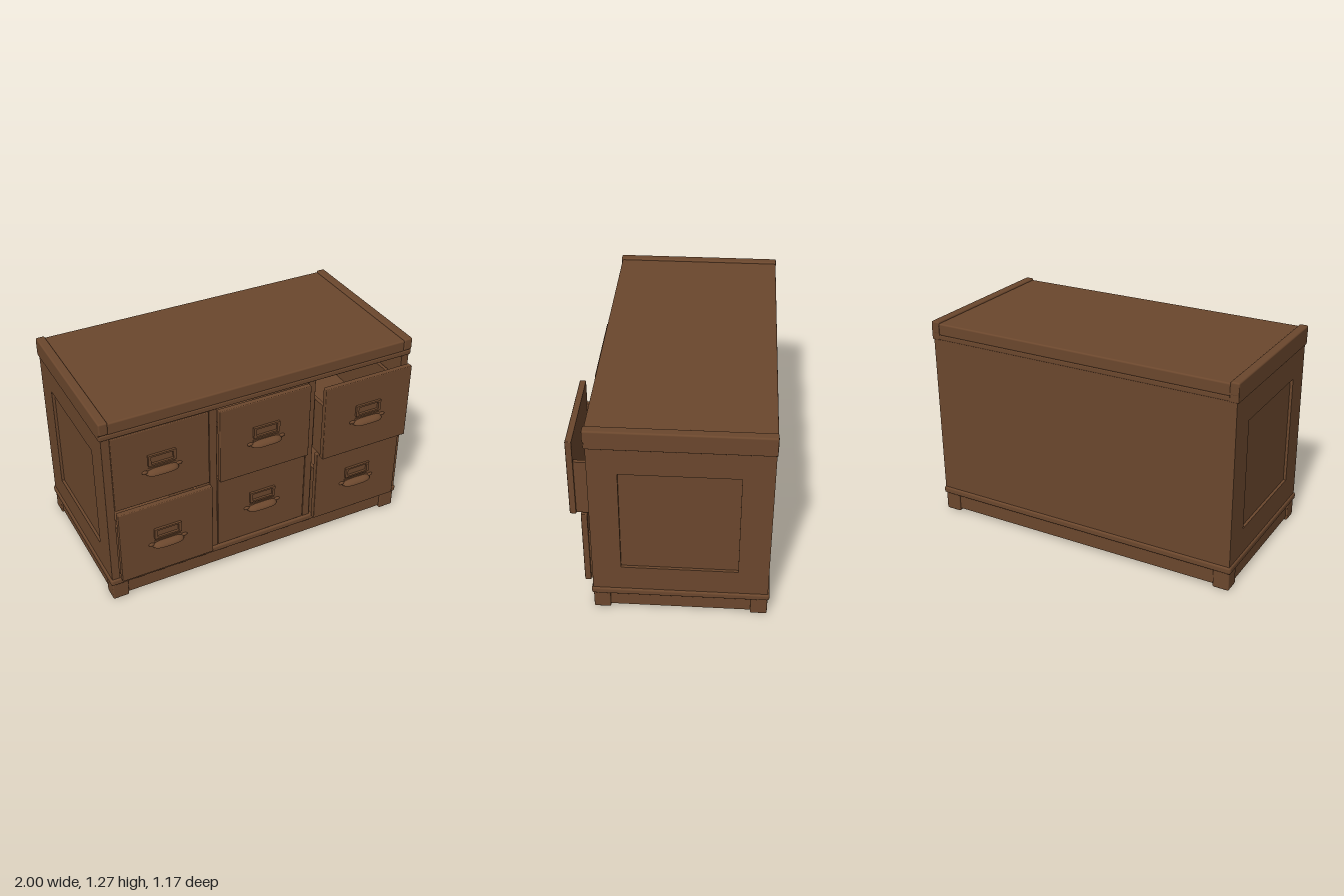
import * as THREE from 'three';
import { RoundedBoxGeometry } from 'three/addons/geometries/RoundedBoxGeometry.js';
import { ParametricGeometry } from 'three/addons/geometries/ParametricGeometry.js';

const wood = new THREE.MeshStandardMaterial({ color: 0x6b472d, side: THREE.DoubleSide });
wood.name = 'brown wood';

// Box given by its limits on each axis, with softened edges when r > 0
function box(parent, name, [x0, x1], [y0, y1], [z0, z1], r = 0) {
  const w = x1 - x0, h = y1 - y0, d = z1 - z0;
  const geo = r ? new RoundedBoxGeometry(w, h, d, 2, r) : new THREE.BoxGeometry(w, h, d);
  const mesh = new THREE.Mesh(geo, wood);
  mesh.name = name;
  mesh.position.set((x0 + x1) / 2, (y0 + y1) / 2, (z0 + z1) / 2);
  parent.add(mesh);
  return mesh;
}

function rect(target, x0, x1, y0, y1) {
  target.moveTo(x0, y0);
  target.lineTo(x1, y0);
  target.lineTo(x1, y1);
  target.lineTo(x0, y1);
  target.closePath();
  return target;
}

// Flat frame: a rectangle with a rectangular opening, extruded along z
function frameGeometry(outer, inner, depth) {
  const shape = rect(new THREE.Shape(), ...outer);
  shape.holes.push(rect(new THREE.Path(), ...inner));
  return new THREE.ExtrudeGeometry(shape, { depth, bevelEnabled: false });
}

// Hollow cup pull: a quarter tube closing at both ends
const cupGeometry = new ParametricGeometry((u, v, p) => {
  const s = Math.sin((u - 0.5) * Math.PI);
  const f = Math.sqrt(Math.max(0, 1 - s ** 4));
  const a = v * Math.PI / 2;
  p.set(0.1 * s, 0.03 * f * Math.sin(a), 0.042 * f * Math.cos(a));
}, 24, 8);

const labelGeometry = frameGeometry([-0.085, 0.085, 0.055, 0.125], [-0.068, 0.068, 0.066, 0.114], 0.014);

function addHardware(drawer) {
  const group = new THREE.Group();
  group.name = 'drawerHardware';
  group.position.y = 0.2;
  drawer.add(group);
  const label = new THREE.Mesh(labelGeometry, wood);
  label.name = 'labelFrame';
  group.add(label);
  const cup = new THREE.Mesh(cupGeometry, wood);
  cup.name = 'cupPull';
  group.add(cup);
  box(group, 'pullPlate', [-0.085, 0.085], [0, 0.037], [0, 0.004]);
  // Small mounting ears beside the cup
  for (const s of [-1, 1]) {
    const ear = new THREE.Mesh(new THREE.SphereGeometry(0.011, 12, 8), wood);
    ear.name = 'pullEar';
    ear.scale.set(1.8, 1, 0.8);
    ear.position.set(s * 0.104, 0.015, 0.003);
    group.add(ear);
  }
}

// Drawer with its origin at the bottom centre of the front face
function makeDrawer(name) {
  const drawer = new THREE.Group();
  drawer.name = name;
  const hw = 0.295;
  box(drawer, 'drawerFront', [-hw, hw], [0, 0.495], [-0.036, 0], 0.005);
  for (const s of [-1, 1]) {
    const xs = [s * 0.262, s * 0.284].sort((a, b) => a - b);
    box(drawer, 'drawerSide', xs, [0.004, 0.355], [-0.93, -0.034]);
  }
  box(drawer, 'drawerBack', [-0.262, 0.262], [0.004, 0.355], [-0.93, -0.908]);
  box(drawer, 'drawerBottom', [-0.262, 0.262], [0.004, 0.024], [-0.908, -0.034]);
  addHardware(drawer);
  return drawer;
}

export function createModel() {
  const model = new THREE.Group();
  model.name = 'drawerCabinet';

  // Base: feet, skirts and moulding
  for (const sx of [-1, 1]) {
    const xs = sx > 0 ? [0.89, 0.99] : [-0.99, -0.89];
    box(model, 'footFront', xs, [0, 0.12], [0.333, 0.43], 0.008);
    box(model, 'footBack', xs, [0, 0.12], [-0.575, -0.478], 0.008);
    const skirt = sx > 0 ? [0.945, 0.98] : [-0.98, -0.945];
    box(model, 'sideSkirt', skirt, [0.018, 0.12], [-0.49, 0.345]);
  }
  box(model, 'frontSkirt', [-0.9, 0.9], [0.018, 0.12], [0.385, 0.42]);
  box(model, 'backSkirt', [-0.9, 0.9], [0.018, 0.12], [-0.565, -0.53]);
  box(model, 'baseMoulding', [-1, 1], [0.112, 0.157], [-0.585, 0.44], 0.014);

  // Carcass sides, each framed around a recessed panel
  const sideGeometry = frameGeometry([-0.43, 0.575, 0.15, 1.165], [-0.265, 0.4, 0.32, 0.993], 0.02);
  for (const s of [-1, 1]) {
    const side = new THREE.Mesh(sideGeometry, wood);
    side.name = 'sideFrame';
    side.rotation.y = Math.PI / 2;
    side.position.x = s > 0 ? 0.97 : -0.99;
    model.add(side);
    box(model, 'sidePanel', s > 0 ? [0.942, 0.973] : [-0.973, -0.942], [0.15, 1.165], [-0.575, 0.43]);
  }
  box(model, 'backPanel', [-0.985, 0.985], [0.15, 1.165], [-0.575, -0.55]);
  for (const x of [-0.322, 0.322]) {
    box(model, 'divider', [x - 0.024, x + 0.024], [0.15, 1.165], [-0.55, 0.428], 0.004);
  }

  // Top: lower slab, upper slab and raised end rails
  box(model, 'topMoulding', [-1, 1], [1.16, 1.196], [-0.578, 0.44], 0.01);
  box(model, 'topSlab', [-0.95, 0.95], [1.19, 1.265], [-0.578, 0.437], 0.01);
  for (const s of [-1, 1]) {
    const xs = s > 0 ? [0.945, 1] : [-1, -0.945];
    box(model, 'endRail', xs, [1.197, 1.275], [-0.58, 0.443], 0.01);
    box(model, 'endRailSkirt', xs, [1.16, 1.25], [-0.579, 0.434], 0.004);
  }

  // Drawers, pulled out by differing amounts: [x, lower z, upper z]
  const columns = [[-0.645, 0.475, 0.436], [0, 0.432, 0.466], [0.642, 0.485, 0.545]];
  for (const [x, ...fronts] of columns) {
    fronts.forEach((z, row) => {
      const drawer = makeDrawer(row ? 'upperDrawer' : 'lowerDrawer');
      drawer.position.set(x, 0.159 + row * 0.5, z);
      model.add(drawer);
    });
  }
  return model;
}
